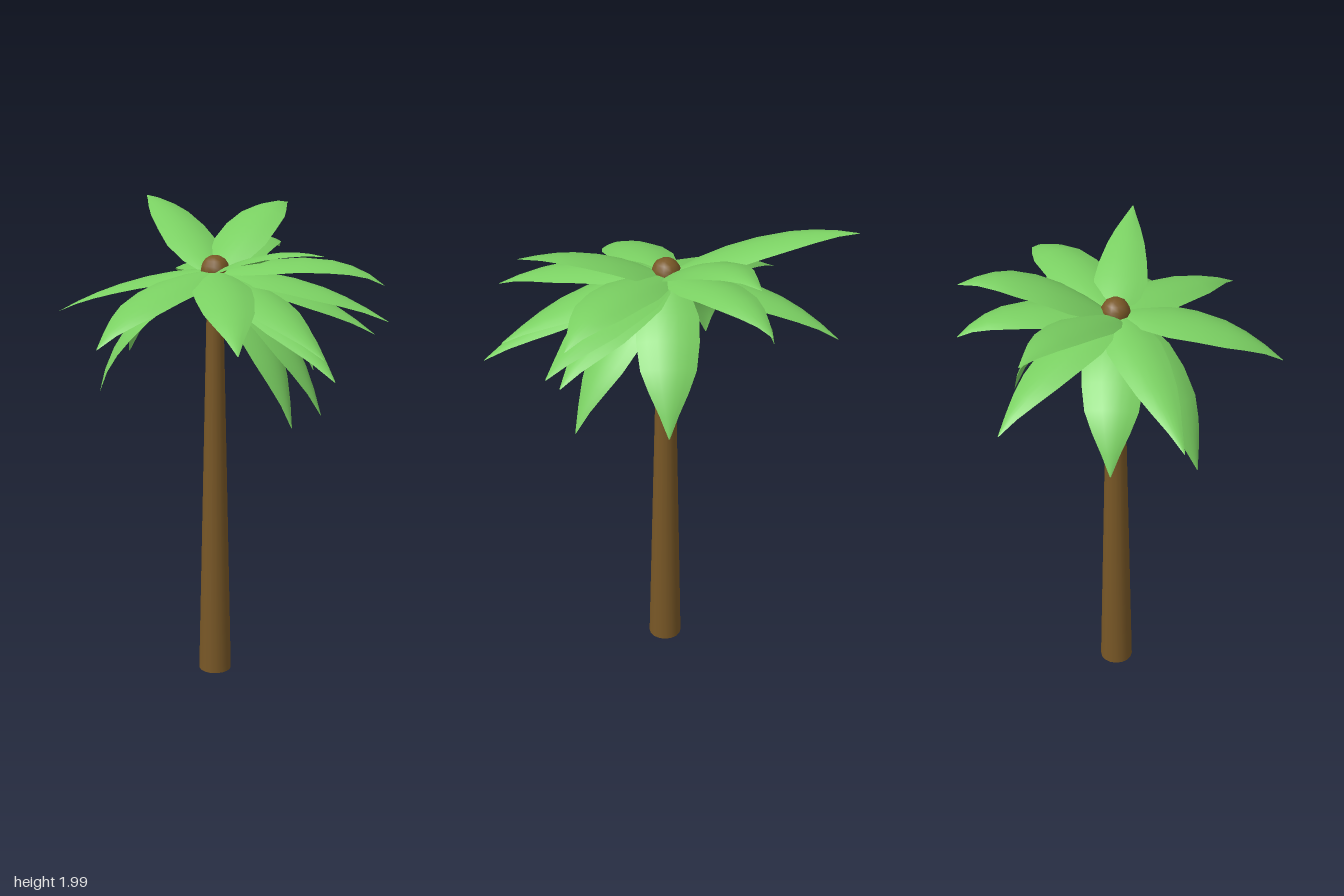
import * as THREE from 'three';

const CROWN = new THREE.Vector3(0.028, 1.8, -0.03);
const UP = new THREE.Vector3(0, 1, 0);

// Frond outline: [position along the spine, half width]
const OUTLINE = [[0, 0.05], [0.1, 0.094], [0.24, 0.122], [0.4, 0.12], [0.58, 0.105], [0.72, 0.074], [0.86, 0.036], [1, 0.002]];
const COLS = 6;

// Fronds: tip x, y, z, arch of the spine, position of the bend, width of the outer half
const FRONDS = [
  // raised
  [0.63, 1.975, -0.13, 0.075, 0.65, 1], [0.36, 1.972, -0.71, 0.052, 0.63, 0.82], [-0.035, 1.955, 0.57, 0.04, 0.5, 0.72],
  // level
  [-0.64, 1.6, -0.06, 0.065, 0.58, 1], [0.64, 1.77, -0.18, 0.075, 0.7, 0.85], [0.39, 1.76, 0.56, 0.08, 0.68, 1],
  [-0.46, 1.64, 0.5, 0.055, 0.55, 0.95], [-0.24, 1.57, -0.67, 0.04, 0.5, 0.8], [0.46, 1.58, -0.58, 0.06, 0.57, 0.8],
  [0.34, 1.63, 0.62, 0.05, 0.5, 1], [-0.12, 1.5, 0.7, 0.05, 0.5, 1], [-0.1, 1.57, 0.63, 0.045, 0.5, 1],
  [0.33, 1.57, 0.56, 0.05, 0.5, 1],
  // drooping
  [-0.3, 1.29, -0.38, 0.092, 0.56, 1], [0.04, 1.36, -0.53, 0.1, 0.6, 1], [0.455, 1.31, 0.16, 0.088, 0.56, 1.05],
  [0.04, 1.2, 0.37, 0.065, 0.5, 0.9], [0.155, 1.24, 0.43, 0.065, 0.5, 1],
];

// Thin leaf blade swept along an arched spine, its edges bent slightly down
function frondGeometry(tip, arch, bend, width) {
  const out = new THREE.Vector3(tip.x - CROWN.x, 0, tip.z - CROWN.z).normalize();
  const side = new THREE.Vector3().crossVectors(UP, out);
  const base = CROWN.clone().addScaledVector(out, 0.03);
  const chord = tip.clone().sub(base).normalize();
  const lift = new THREE.Vector3().crossVectors(chord, side);
  const control = base.clone().lerp(tip, bend).addScaledVector(lift, arch * 2);
  const spine = new THREE.QuadraticBezierCurve3(base, control, tip);
  const positions = [];
  const index = [];
  OUTLINE.forEach(([t, outline], row) => {
    const half = outline * THREE.MathUtils.lerp(1, width, Math.min(1, t * 1.7));
    const normal = new THREE.Vector3().crossVectors(spine.getTangent(t), side);
    for (let c = 0; c <= COLS; c++) {
      const s = (c / COLS) * 2 - 1;
      const p = spine.getPoint(t)
        .addScaledVector(side, s * half)
        .addScaledVector(normal, -s * s * half * 0.24);
      positions.push(p.x, p.y, p.z);
      if (row > 0 && c > 0) {
        const d = row * (COLS + 1) + c;
        const b = d - COLS - 1;
        index.push(b - 1, d - 1, b, b, d - 1, d);
      }
    }
  });
  const geometry = new THREE.BufferGeometry();
  geometry.setAttribute('position', new THREE.Float32BufferAttribute(positions, 3));
  geometry.setIndex(index);
  geometry.computeVertexNormals();
  return geometry;
}

export function createModel() {
  const model = new THREE.Group();
  const bark = new THREE.MeshStandardMaterial({ color: 0x785726 });
  const green = new THREE.MeshStandardMaterial({ color: 0x7ad062, side: THREE.DoubleSide });

  // Tapered trunk
  const trunk = new THREE.Mesh(new THREE.CylinderGeometry(0.032, 0.07, 1.78, 16), bark);
  trunk.name = 'trunk';
  trunk.position.set(CROWN.x, 0.89, CROWN.z);
  model.add(trunk);

  // Rounded knob where the fronds meet
  const knob = new THREE.Mesh(new THREE.SphereGeometry(0.06, 10, 8), bark);
  knob.name = 'crownKnob';
  knob.position.copy(CROWN);
  model.add(knob);

  // Ring of fronds
  const fronds = new THREE.Group();
  fronds.name = 'fronds';
  for (const [x, y, z, arch, bend, width] of FRONDS) {
    const frond = new THREE.Mesh(frondGeometry(new THREE.Vector3(x, y, z), arch, bend, width), green);
    frond.name = 'frond';
    fronds.add(frond);
  }
  model.add(fronds);
  return model;
}
